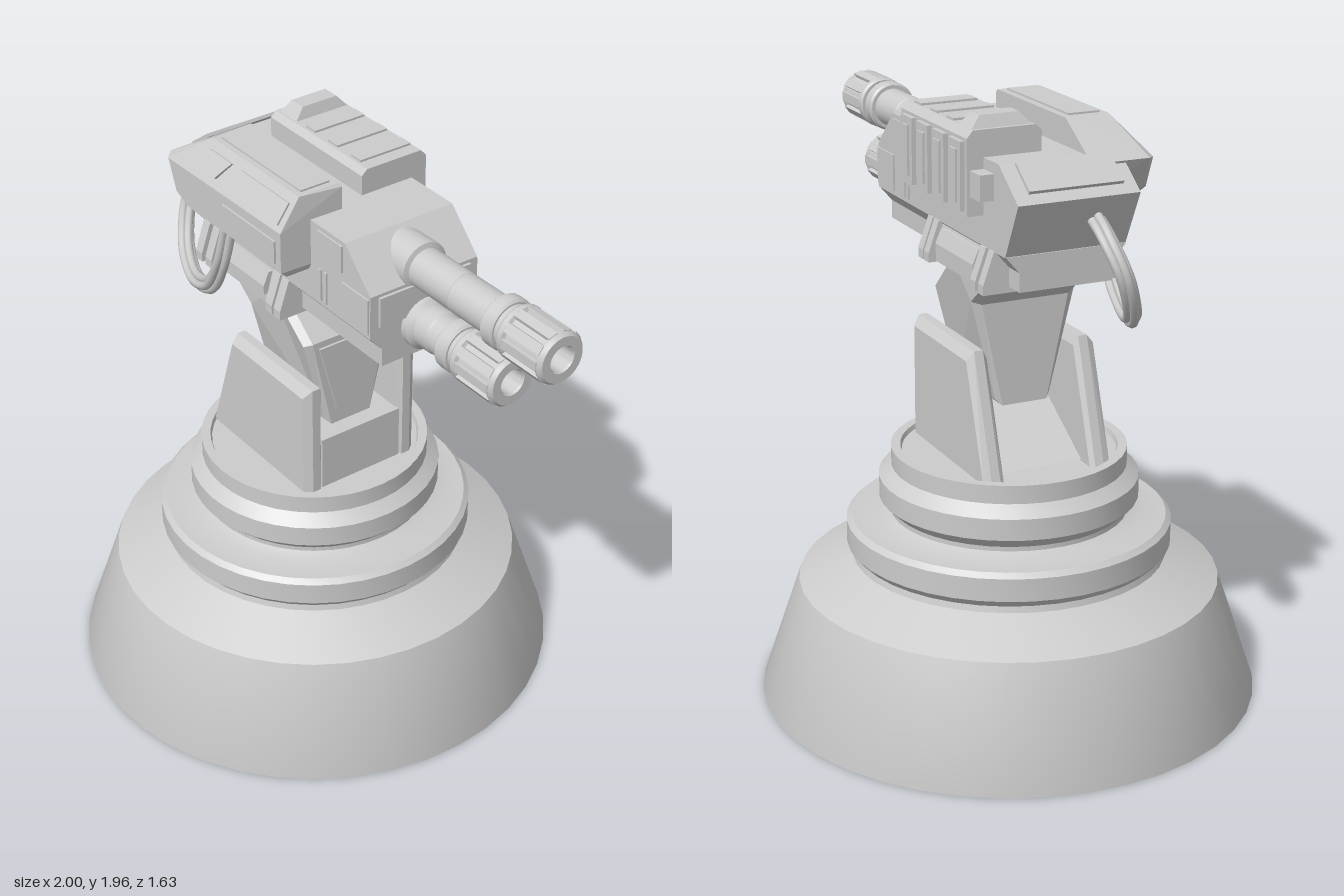
import * as THREE from 'three';
import { toCreasedNormals } from 'three/addons/utils/BufferGeometryUtils.js';
import { ConvexGeometry } from 'three/addons/geometries/ConvexGeometry.js';

const CX = -0.187; // axis of the pedestal

export function createModel() {
  const root = new THREE.Group();
  const mat = new THREE.MeshStandardMaterial({ color: 0xcccccc });

  const add = (name, geo, parent = root) => {
    const mesh = new THREE.Mesh(geo, mat);
    mesh.name = name;
    parent.add(mesh);
    return mesh;
  };
  const group = (name) => {
    const g = new THREE.Group();
    g.name = name;
    root.add(g);
    return g;
  };
  // box from its limits
  const box = (name, x0, x1, y0, y1, z0, z1, parent) => {
    const geo = new THREE.BoxGeometry(x1 - x0, y1 - y0, z1 - z0);
    return add(name, geo.translate((x0 + x1) / 2, (y0 + y1) / 2, (z0 + z1) / 2), parent);
  };
  // convex solid through slices: each slice is [z, [[x, y], ...]]
  const hull = (name, slices, parent, side = 1) => {
    const pts = slices.flatMap(([z, p]) => p.map(([x, y]) => new THREE.Vector3(x, y, z * side)));
    return add(name, new ConvexGeometry(pts), parent);
  };
  const lathe = (pts, seg) => toCreasedNormals(
    new THREE.LatheGeometry(pts.map(([r, y]) => new THREE.Vector2(r, y)), seg), 0.5);

  // Pedestal
  add('pedestal', lathe([
    [0, 0], [0.813, 0], [0.813, 0.008], [0.685, 0.385], [0.51, 0.465], [0.505, 0.485],
    [0.527, 0.51], [0.527, 0.585], [0.51, 0.6], [0.42, 0.6], [0.385, 0.615], [0.385, 0.63],
    [0.42, 0.665], [0.42, 0.735], [0.38, 0.77], [0.38, 0.83], [0.35, 0.83], [0.345, 0.815], [0, 0.815],
  ], 40).translate(CX, 0, 0));

  // Yoke: two chamfered cheek plates and a cross block
  const yoke = group('yoke');
  const cheek = [[-0.47, 0.81], [0.08, 0.81], [0.08, 1.21], [-0.34, 1.21]];
  const cheekIn = [[-0.46, 0.81], [0.06, 0.81], [0.06, 1.18], [-0.335, 1.18]];
  for (const s of [1, -1]) {
    hull('yokeCheek', [[0.15, cheekIn], [0.165, cheek], [0.195, cheek], [0.22, cheekIn]], yoke, s);
  }
  const cross = [[0.075, 0.81], [0.075, 1.0], [-0.1, 1.0], [-0.4, 0.82]];
  hull('yokeCrossBlock', [[-0.155, cross], [0.155, cross]], yoke);

  // Neck: side profile whose width narrows toward the bottom
  const neckShape = new THREE.Shape([
    [-0.28, 1.02], [0.0, 1.02], [0.0, 1.325], [-0.15, 1.46], [-0.42, 1.46], [-0.28, 1.35],
  ].map(([x, y]) => new THREE.Vector2(x, y)));
  const neck = new THREE.ExtrudeGeometry(neckShape, {
    depth: 1.7, bevelThickness: 0.15, bevelSize: 0.018, bevelSegments: 1, bevelOffset: 0,
  }).translate(0, 0, -0.85);
  const np = neck.attributes.position;
  for (let i = 0; i < np.count; i++) {
    const w = THREE.MathUtils.mapLinear(Math.min(np.getY(i), 1.36), 1.02, 1.36, 0.095, 0.18);
    np.setZ(i, np.getZ(i) * w);
  }
  neck.computeVertexNormals();
  add('neck', neck);
  add('neckFrontPanel', new ConvexGeometry([0.01, 0.026].flatMap((x) => [-1, 1].flatMap((s) => [
    new THREE.Vector3(x, 1.06, s * 0.06), new THREE.Vector3(x, 1.31, s * 0.125)]))));

  // Gun housing
  const body = group('gunHousing');
  const upper = [[-0.565, 1.565], [0.385, 1.565], [0.385, 1.71], [0.26, 1.835], [-0.52, 1.835], [-0.65, 1.74]];
  hull('upperHousing', [[-0.2, upper], [0.2, upper]], body);
  const bar = (y) => [[-0.57, y], [0.385, y]];
  hull('housingTaper', [[-0.2, bar(1.567)], [0.2, bar(1.567)], [-0.155, bar(1.515)], [0.155, bar(1.515)]], body);
  box('lowerHousing', -0.57, 0.385, 1.455, 1.52, -0.155, 0.155, body);
  const rear = [[-0.625, 1.765], [-0.535, 1.832], [-0.54, 1.842], [-0.632, 1.775]];
  hull('rearPanel', [[-0.155, rear], [0.155, rear]], body);
  // front plate framing the barrels
  box('frontPlate', 0.38, 0.395, 1.6, 1.7, -0.17, 0.17, body);
  for (const s of [1, -1]) {
    const side = (name, x0, x1, y0, y1, d) =>
      box(name, x0, x1, y0, y1, Math.min(s * 0.19, s * (0.2 + d)), Math.max(s * 0.19, s * (0.2 + d)), body);
    side('sideHatch', 0.125, 0.25, 1.73, 1.82, 0.006);
    side('sideStrip', 0.13, 0.145, 1.58, 1.69, 0.006);
    side('sideStrip', 0.16, 0.172, 1.58, 1.69, 0.006);
    const brace = [[0.25, 1.58], [0.38, 1.58], [0.38, 1.7], [0.25, 1.7]];
    hull('noseCheek', [[0.19, brace], [0.206, brace]], body, s);
  }

  // Flared mounting skirt under the housing
  const skirt = group('mountingSkirt');
  const flare = (name, x0, x1, yb, yt, zb, zt) => {
    const at = (y) => [[x0, y], [x1, y]];
    hull(name, [[-zb, at(yb)], [zb, at(yb)], [-zb, at(yb + 0.03)], [zb, at(yb + 0.03)],
      [-zt, at(yt)], [zt, at(yt)]], skirt);
  };
  flare('skirtCore', -0.5, -0.03, 1.44, 1.56, 0.215, 0.19);
  flare('skirtPanel', -0.4, -0.13, 1.475, 1.55, 0.228, 0.208);
  for (const x of [-0.5, -0.445, -0.105, -0.06]) flare('skirtBracket', x, x + 0.035, 1.437, 1.567, 0.24, 0.205);

  // Side pod on the +z side, chamfered along its upper outer edge
  const pod = group('sidePod');
  const podInner = [[-0.56, 1.815], [-0.39, 1.92], [0.08, 1.92], [0.09, 1.91], [0.09, 1.68], [0.075, 1.66], [-0.44, 1.66], [-0.51, 1.7]];
  hull('podShell', [
    [0.085, podInner],
    [0.235, [[-0.38, 1.92], [0.08, 1.92]]],
    [0.28, [[-0.44, 1.66], [0.075, 1.66], [-0.56, 1.815]]],
    [0.308, [[-0.53, 1.81], [0.085, 1.82], [0.085, 1.685], [-0.43, 1.685], [-0.49, 1.71]]],
  ], pod);
  box('podLowerPanel', -0.22, 0.06, 1.71, 1.785, 0.3, 0.315, pod);
  // raised panels lying on the chamfer
  const slopeZ = (y) => 0.308 - (y - 1.82) * 0.73;
  for (const q of [[[-0.235, 1.835], [0.06, 1.835], [0.06, 1.895], [-0.19, 1.895]],
    [[-0.45, 1.84], [-0.28, 1.84], [-0.24, 1.895], [-0.36, 1.895]]]) {
    add('podUpperPanel', new ConvexGeometry([-0.012, 0.006].flatMap((d) =>
      q.map(([x, y]) => new THREE.Vector3(x, y + d * 0.6, slopeZ(y) + d)))), pod);
  }
  box('podTopStrip', -0.36, 0.06, 1.91, 1.926, 0.11, 0.215, pod);

  // Ribbed pack on the -z side, wrapping over the top
  const pack = group('ribbedPack');
  const packTop = (y) => [[-0.42, y], [0.06, y]];
  hull('packShell', [[-0.255, packTop(1.66)], [-0.255, packTop(1.895)], [-0.235, packTop(1.918)],
    [-0.03, packTop(1.918)], [-0.01, packTop(1.9)], [-0.01, packTop(1.8)], [-0.1, packTop(1.66)]], pack);
  for (let i = 0; i < 4; i++) {
    const x = -0.405 + i * 0.118;
    box('packRib', x, x + 0.085, 1.675, 1.885, -0.27, -0.25, pack);
    box('packRibInset', x + 0.02, x + 0.065, 1.7, 1.86, -0.277, -0.26, pack);
    if (i) box('packTopBar', x + 0.015, x + 0.065, 1.91, 1.925, -0.23, -0.04, pack);
  }
  hull('packCap', [[-0.24, [[-0.41, 1.91], [-0.315, 1.91]]], [-0.2, [[-0.39, 1.955], [-0.33, 1.955]]],
    [-0.07, [[-0.39, 1.955], [-0.33, 1.955]]], [-0.03, [[-0.41, 1.91], [-0.315, 1.91]]]], pack);
  box('packConnector', -0.49, -0.41, 1.72, 1.8, -0.245, -0.19, pack);

  // Barrels: tube, collar and fluted muzzle with an open bore
  const barrel = (name, y, tube, x) => {
    const g = group(name);
    const along = (part, pts, seg = 24) =>
      add(part, lathe(pts, seg).rotateZ(-Math.PI / 2).translate(0, y, 0), g);
    along('barrelTube', tube);
    along('barrelCollar', [[0.06, x - 0.075], [0.076, x - 0.075], [0.083, x - 0.068], [0.083, x - 0.03],
      [0.076, x - 0.023], [0.07, x - 0.023], [0.07, x + 0.01]]);
    along('muzzle', [[0.06, x], [0.08, x], [0.086, x + 0.008], [0.086, x + 0.025], [0.074, x + 0.03],
      [0.074, x + 0.165], [0.083, x + 0.17], [0.083, x + 0.178], [0.074, x + 0.19], [0.044, x + 0.19],
      [0.04, x + 0.184], [0.04, x + 0.09], [0, x + 0.09]]);
    for (let i = 0; i < 10; i++) {
      const rib = new THREE.BoxGeometry(0.15, 0.02, 0.03).translate(x + 0.1, 0.075, 0);
      add('muzzleRib', rib.rotateX((i + 0.5) * Math.PI / 5).translate(0, y, 0), g);
    }
  };
  barrel('upperBarrel', 1.745, [[0, 0.2], [0.08, 0.2], [0.08, 0.385], [0.064, 0.39], [0.064, 0.565],
    [0.061, 0.568], [0.064, 0.572], [0.064, 0.76]], 0.81);
  barrel('lowerBarrel', 1.56, [[0, 0.36], [0.085, 0.36], [0.085, 0.41], [0.07, 0.425], [0.07, 0.48],
    [0.066, 0.485], [0.066, 0.57]], 0.61);

  // Looping cable bundle from the rear of the housing to the side pod
  const cable = group('cableBundle');
  const path = [[-0.58, 1.67, 0.08], [-0.68, 1.63, 0.07], [-0.745, 1.52, 0.1], [-0.69, 1.385, 0.16],
    [-0.56, 1.335, 0.215], [-0.4, 1.39, 0.255], [-0.29, 1.53, 0.28], [-0.245, 1.68, 0.275]];
  for (const [r, dz] of [[0.018, 0], [-0.018, 0], [0, 0.016], [0, -0.016]]) {
    const curve = new THREE.CatmullRomCurve3(path.map(([x, y, z]) => {
      const d = new THREE.Vector2(x + 0.5, y - 1.55).normalize().multiplyScalar(r);
      return new THREE.Vector3(x + d.x, y + d.y, z + dz);
    }));
    add('cableStrand', new THREE.TubeGeometry(curve, 40, 0.014, 8), cable);
  }
  return root;
}
